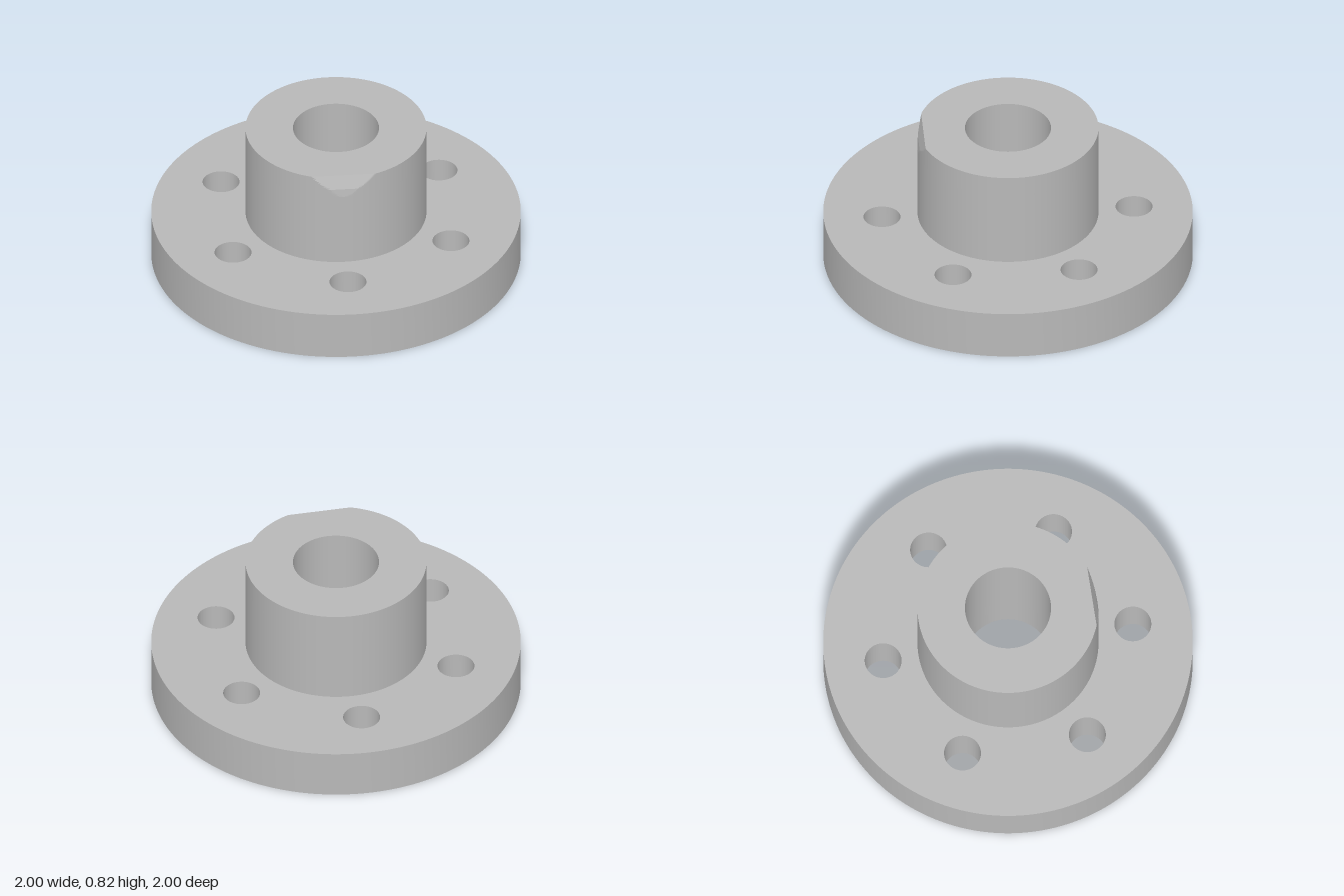
import * as THREE from 'three';
import { toCreasedNormals } from 'three/addons/utils/BufferGeometryUtils.js';

const FLANGE_R = 1, FLANGE_H = 0.275;
const HUB_R = 0.49, BORE_R = 0.233, TOP = 0.82;
const NICK_Y = 0.7, NICK_ANGLE = -0.073; // shallow relief on the hub's front rim
const SEGMENTS = 360;

// Distance of the relief's cutting face from the axis at a given height
function nickDistance(y) {
  if (y >= 0.745) return THREE.MathUtils.mapLinear(y, 0.745, TOP, 0.484, 0.459);
  return THREE.MathUtils.mapLinear(y, NICK_Y, 0.745, HUB_R, 0.484);
}

// Hub radius after the relief is cut away
function hubRadius(angle, y) {
  const c = Math.cos(angle - NICK_ANGLE);
  return c > 0.5 && y > NICK_Y ? Math.min(HUB_R, nickDistance(y) / c) : HUB_R;
}

function circleHole(x, y, r) {
  return new THREE.Path().absarc(x, y, r, 0, Math.PI * 2, true);
}

export function createModel() {
  const group = new THREE.Group();
  const steel = new THREE.MeshStandardMaterial({ color: 0xb8b8b8 });
  steel.name = 'steel grey';
  const add = (name, geometry) => {
    const mesh = new THREE.Mesh(geometry, steel);
    mesh.name = name;
    group.add(mesh);
  };

  // Flange disc with the bore and six bolt holes
  const disc = new THREE.Shape().absarc(0, 0, FLANGE_R, 0, Math.PI * 2, false);
  disc.holes.push(circleHole(0, 0, BORE_R));
  for (let i = 0; i < 6; i++) {
    const a = THREE.MathUtils.degToRad(86.1 + i * 60);
    disc.holes.push(circleHole(0.684 * Math.cos(a), 0.684 * Math.sin(a), 0.1));
  }
  const flange = new THREE.ExtrudeGeometry(disc, { depth: FLANGE_H, bevelEnabled: false, curveSegments: 120 });
  flange.rotateX(-Math.PI / 2);
  add('flange', toCreasedNormals(flange, 0.5));

  // Plain lower hub wall
  const lower = new THREE.CylinderGeometry(HUB_R, HUB_R, NICK_Y - FLANGE_H, SEGMENTS, 1, true);
  lower.translate(0, (NICK_Y + FLANGE_H) / 2, 0);
  add('hubWall', lower);

  // Upper hub wall, pushed in where the relief cuts it
  const upper = new THREE.CylinderGeometry(HUB_R, HUB_R, TOP - NICK_Y, SEGMENTS, 16, true);
  upper.translate(0, (TOP + NICK_Y) / 2, 0);
  const p = upper.attributes.position;
  for (let i = 0; i < p.count; i++) {
    const a = Math.atan2(p.getX(i), p.getZ(i));
    const r = hubRadius(a, p.getY(i));
    p.setXYZ(i, r * Math.sin(a), p.getY(i), r * Math.cos(a));
  }
  add('hubRim', toCreasedNormals(upper, 0.12));

  // Hub top ring following the cut rim
  const rim = [];
  for (let i = 0; i < SEGMENTS; i++) {
    const a = (i / SEGMENTS) * Math.PI * 2;
    const r = hubRadius(a, TOP);
    rim.push(new THREE.Vector2(r * Math.sin(a), -r * Math.cos(a)));
  }
  const ring = new THREE.Shape(rim);
  ring.holes.push(circleHole(0, 0, BORE_R));
  const cap = new THREE.ShapeGeometry(ring, 120);
  cap.rotateX(-Math.PI / 2);
  cap.translate(0, TOP, 0);
  add('hubTop', cap);

  // Bore wall, facing the axis
  add('bore', new THREE.LatheGeometry(
    [new THREE.Vector2(BORE_R, TOP), new THREE.Vector2(BORE_R, FLANGE_H)], 120));

  return group;
}
